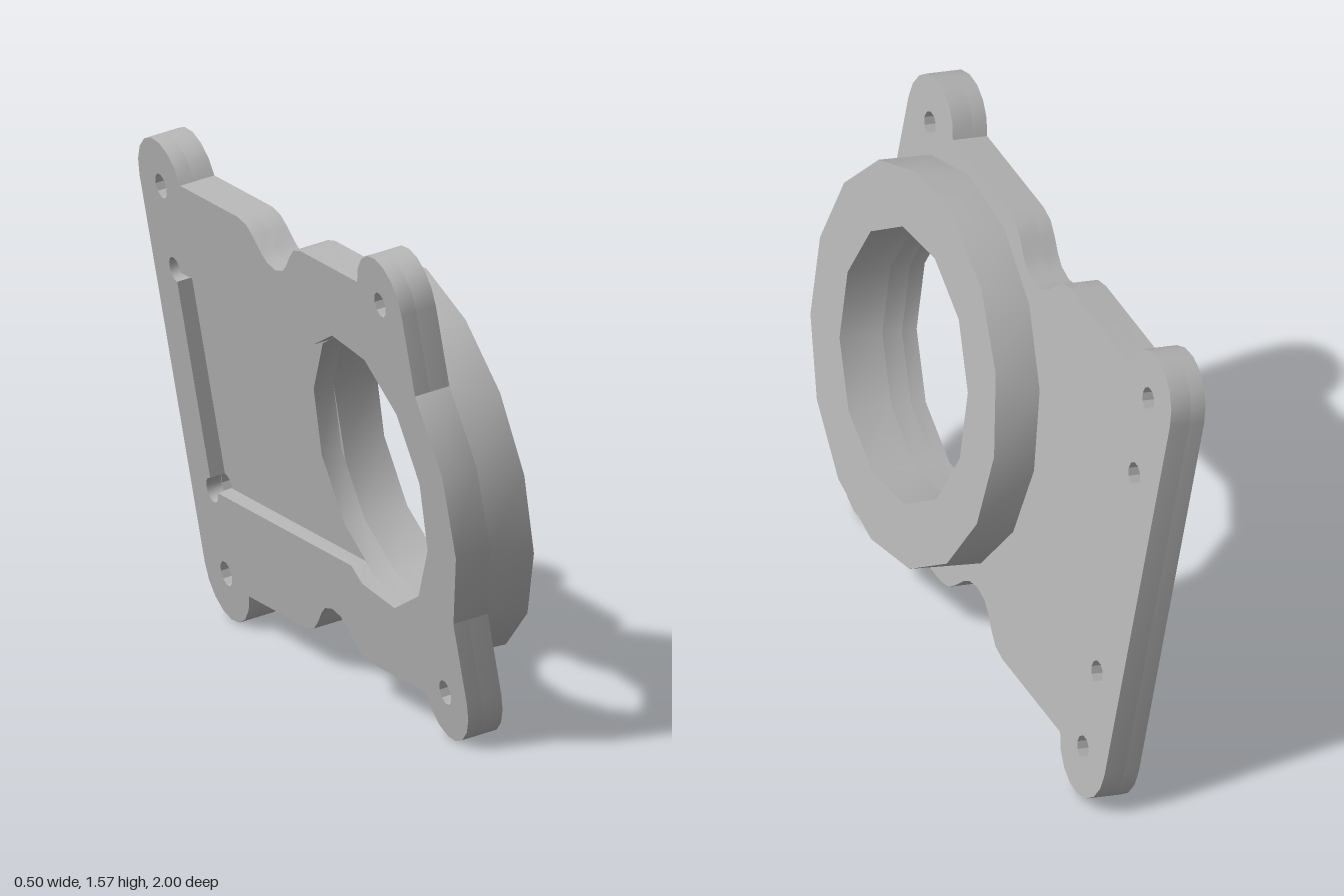
import * as THREE from 'three';
import { toCreasedNormals } from 'three/addons/utils/BufferGeometryUtils.js';

const V = (x, y) => new THREE.Vector2(x, y);
const TILT = THREE.MathUtils.degToRad(10);
const H = 1.577;                       // plate height
const BACK = 0.02, FLOOR = 0.07, FACE = 0.137, RIM = 0.283; // depths through the part
const CX = -0.373, CY = H / 2;         // ring centre (drawn looking at the broad face)
const R_OUT = 0.63, R_IN = 0.433, TWIST = 6;

// Point on a circle about the ring centre
const polar = (r, deg) => {
  const a = THREE.MathUtils.degToRad(deg);
  return V(CX + r * Math.cos(a), CY + r * Math.sin(a));
};
const ringPoints = (r, n, start) => Array.from({ length: n }, (_, i) => polar(r, start + (i * 360) / n));

// Plate outline with four round lugs and two waist notches, mirrored top to bottom
function plateShape() {
  const lugArc = (cx, from, to) => Array.from({ length: 9 }, (_, i) => {
    const a = THREE.MathUtils.degToRad(from + ((to - from) * i) / 8);
    return V(cx + 0.155 * Math.cos(a), 1.42 + 0.155 * Math.sin(a));
  });
  const notch = [[-0.17, 1.458], [-0.115, 1.446], [-0.075, 1.415], [-0.035, 1.375], [0.0, 1.351], [0.055, 1.34],
    [0.11, 1.351], [0.145, 1.375], [0.185, 1.415], [0.225, 1.446], [0.28, 1.458]].map(p => V(...p));
  const top = [...lugArc(-0.727, 180, 14), ...notch, ...lugArc(0.845, 166, 0)];
  const bottom = top.map(p => V(p.x, H - p.y)).reverse();
  return new THREE.Shape([...top, ...bottom].reverse());
}

function boltHole(x, y) {
  return new THREE.Path().absarc(x, y, 0.04, 0, Math.PI * 2, true);
}

// Extrude a broad-face drawing between two depths
function slab(shape, from, to, rule) {
  const g = new THREE.ExtrudeGeometry(shape, { depth: to - from, bevelEnabled: false, curveSegments: 5 });
  g.translate(0, 0, from);
  if (rule) rule(g.attributes.position);
  g.rotateY(Math.PI / 2);
  return toCreasedNormals(g, 0.62);
}

export function createModel() {
  const model = new THREE.Group();
  const part = new THREE.Group();
  part.name = 'tiltedBracket';
  part.rotation.z = TILT;
  model.add(part);

  const grey = new THREE.MeshStandardMaterial({ color: 0xb4b4b4 });
  grey.name = 'grey';
  const add = (name, geometry) => {
    const m = new THREE.Mesh(geometry, grey);
    m.name = name;
    part.add(m);
  };

  const bore = ringPoints(R_IN, 12, 81.3);
  const lugHoles = () => [-0.727, 0.845].flatMap(x => [boltHole(x, 1.42), boltHole(x, H - 1.42)]);
  const hi = 1.148, lo = H - hi, edge = 0.845;

  // Front layer: bore, lug holes and two inner holes
  const front = plateShape();
  front.holes.push(new THREE.Path(bore), ...lugHoles(), boltHole(edge, hi), boltHole(edge, lo));
  add('plateFront', slab(front, FLOOR, FACE));

  // Back layer: the bore opens into a rectangular pocket ending at the inner holes
  const pocket = new THREE.Path();
  pocket.moveTo(-0.154, lo);
  pocket.lineTo(edge - 0.04, lo);
  pocket.absarc(edge, lo, 0.04, Math.PI, Math.PI * 2.5, false);
  pocket.lineTo(edge, hi - 0.04);
  pocket.absarc(edge, hi, 0.04, -Math.PI / 2, Math.PI, false);
  pocket.lineTo(-0.148, hi);
  bore.slice(0, 8).forEach(p => pocket.lineTo(p.x, p.y));
  pocket.closePath();
  const back = plateShape();
  back.holes.push(pocket, ...lugHoles());
  add('plateBack', slab(back, BACK, FLOOR));

  // Side of the ring that overhangs the plate edge
  const outer = Array.from({ length: 7 }, (_, i) => polar(R_OUT, 102 + TWIST + i * 24 - 2 * TWIST));
  const inner = Array.from({ length: 7 }, (_, i) => polar(0.46, 240 - i * 20));
  add('ringOverhang', slab(new THREE.Shape([...outer, ...inner]), BACK, FACE));

  // Raised ring, its outer wall turning slightly from base to rim
  const ring = new THREE.Shape(ringPoints(R_OUT, 15, -90));
  ring.holes.push(new THREE.Path(bore));
  const t = THREE.MathUtils.degToRad(-TWIST);
  const centre = V(CX, CY);
  add('raisedRing', slab(ring, FACE, RIM, pos => {
    for (let i = 0; i < pos.count; i++) {
      const p = V(pos.getX(i), pos.getY(i));
      if (pos.getZ(i) > FACE + 0.01 || p.distanceTo(centre) < 0.5) continue;
      p.rotateAround(centre, t);
      pos.setXY(i, p.x, p.y);
    }
  }));

  return model;
}
